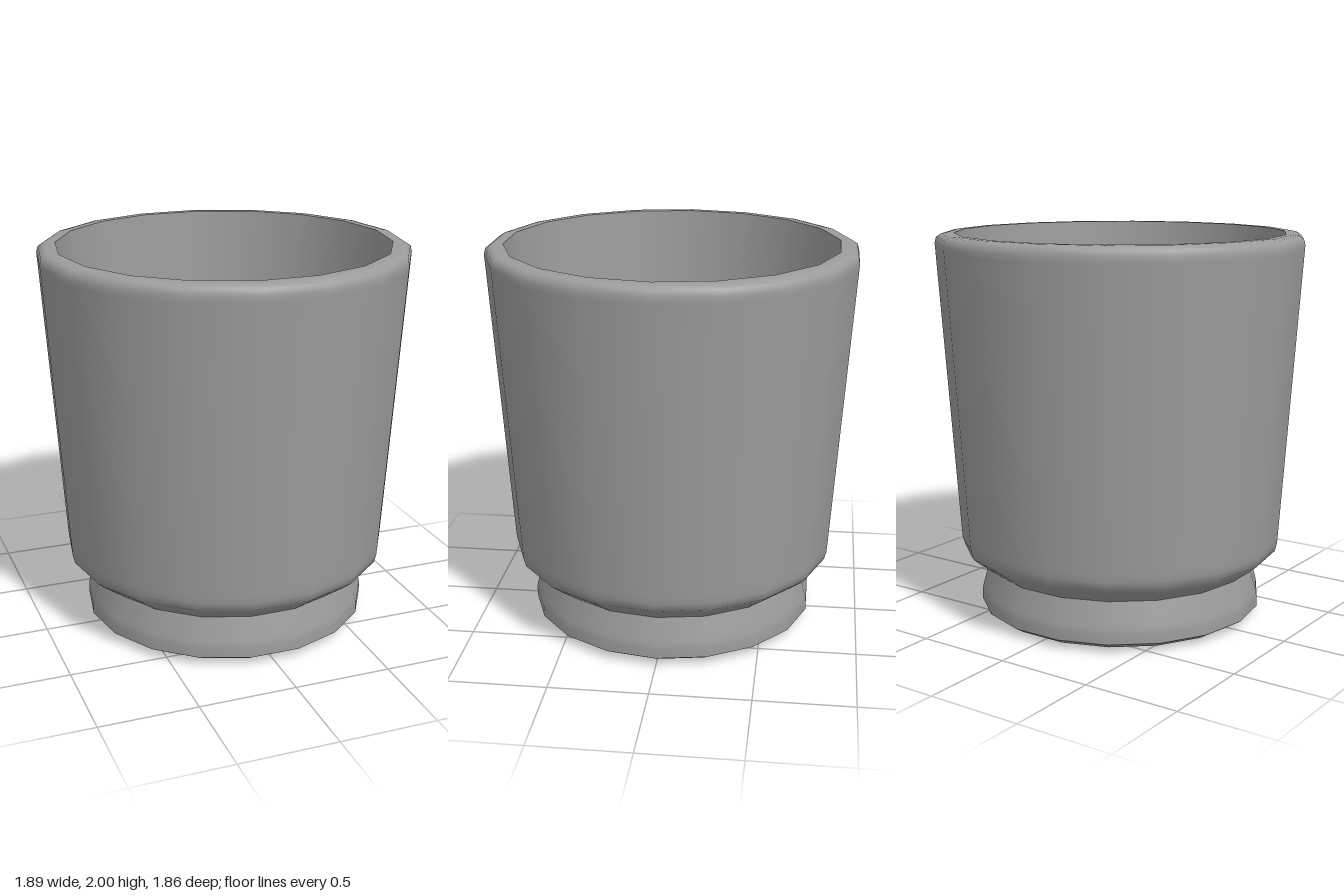
import * as THREE from 'three';

const SIDES = 18;
const material = new THREE.MeshStandardMaterial({ color: 0x9c9c9c });

// Smooth surface of revolution; separate bands keep creases between them sharp.
function band(name, profile) {
  const points = profile.map(([r, y]) => new THREE.Vector2(r, y));
  const mesh = new THREE.Mesh(new THREE.LatheGeometry(points, SIDES, Math.PI / 2), material);
  mesh.name = name;
  return mesh;
}

export function createModel() {
  const cup = new THREE.Group();
  cup.name = 'cup';

  // Foot: underside, lower bevel and flared side
  const foot = new THREE.Group();
  foot.name = 'foot';
  foot.add(
    band('footUnderside', [[0, 0], [0.59, 0], [0.69, 0.015]]),
    band('footBevel', [[0.69, 0.015], [0.744, 0.048]]),
    band('footSide', [[0.744, 0.048], [0.744, 0.1], [0.739, 0.125], [0.732, 0.152], [0.703, 0.256]]),
  );

  // Bowl: outer shell running from the waist over the rounded lip
  const bowl = new THREE.Group();
  bowl.name = 'bowl';
  bowl.add(
    band('outerWall', [
      [0.703, 0.256], [0.795, 0.325], [0.833, 0.358], [0.844, 0.4], [0.847, 0.44],
      [0.944, 1.92], [0.946, 1.95], [0.938, 1.98], [0.915, 1.995], [0.89, 2], [0.85, 2],
    ]),
    // Inside: tapered wall, sloped corner and flat floor
    band('innerWall', [[0.85, 2], [0.745, 0.425]]),
    band('innerCorner', [[0.745, 0.425], [0.622, 0.325]]),
    band('innerFloor', [[0.622, 0.325], [0, 0.325]]),
  );

  cup.add(foot, bowl);
  return cup;
}
